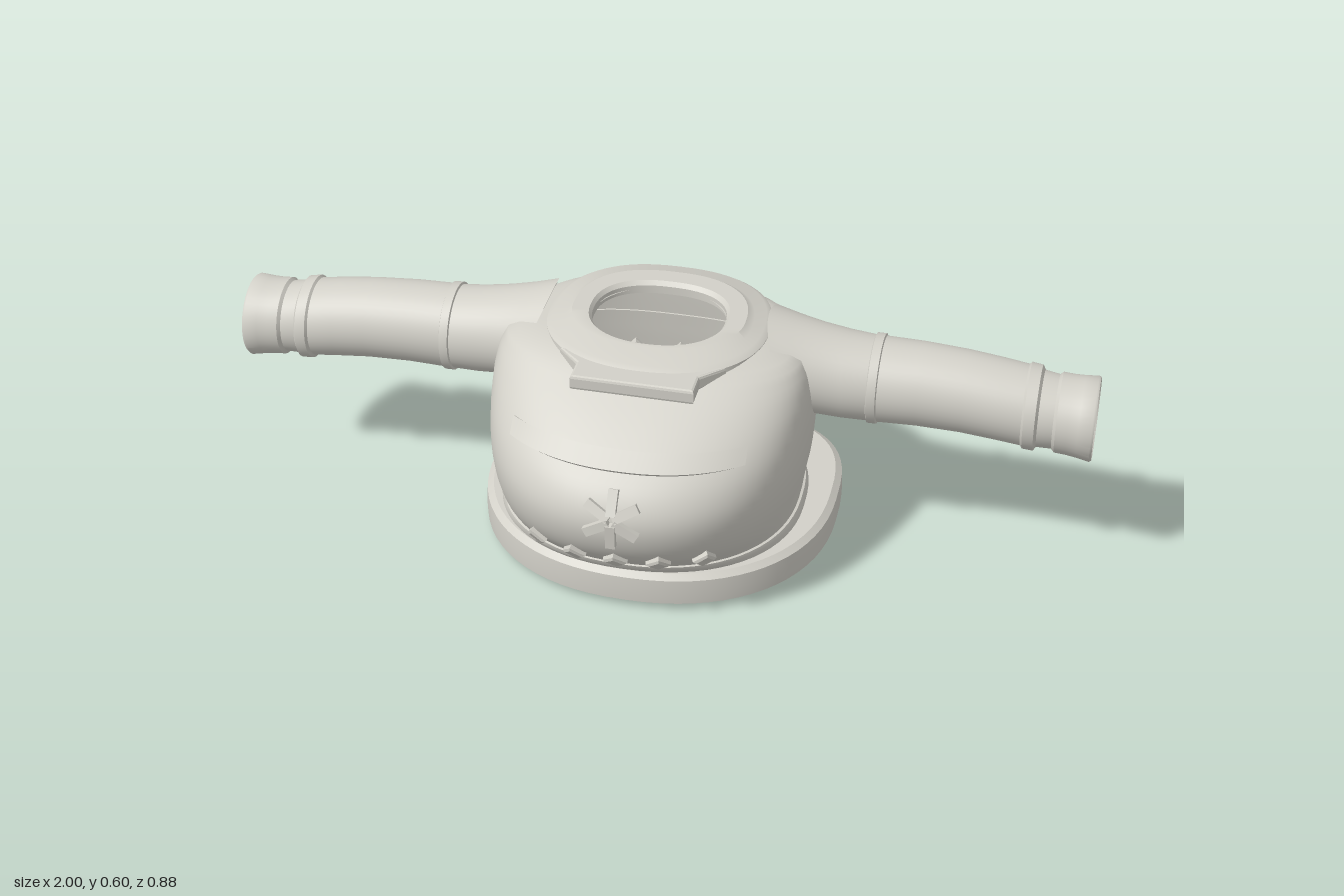
import * as THREE from 'three';
import { toCreasedNormals } from 'three/addons/utils/BufferGeometryUtils.js';

// Skin a list of point rings; optionally close both ends or join last to first
function loft(rings, { caps = false, loop = false, crease = 0.6 } = {}) {
  const n = rings[0].length, pos = rings.flat(2), idx = [];
  const rows = loop ? rings.length : rings.length - 1;
  for (let i = 0; i < rows; i++) {
    const k = (i + 1) % rings.length;
    for (let j = 0; j < n; j++) {
      const j2 = (j + 1) % n;
      const a = i * n + j, b = k * n + j, c = k * n + j2, d = i * n + j2;
      idx.push(a, b, c, a, c, d);
    }
  }
  if (caps) {
    const last = (rings.length - 1) * n;
    for (let j = 1; j < n - 1; j++) idx.push(0, j, j + 1, last, last + j + 1, last + j);
  }
  const g = new THREE.BufferGeometry();
  g.setAttribute('position', new THREE.Float32BufferAttribute(pos, 3));
  g.setIndex(idx);
  return toCreasedNormals(g, crease);
}

// Horizontal egg-shaped ring: front and back are separate superellipse halves
function ring(y, zf, zb, w, zc = 0, nf = 2.2, nb = 2.6, seg = 72) {
  const pts = [];
  for (let j = 0; j < seg; j++) {
    const a = j / seg * Math.PI * 2, c = Math.cos(a), s = Math.sin(a);
    const e = 2 / (s >= 0 ? nf : nb), R = s >= 0 ? zf - zc : zc - zb;
    pts.push([w * Math.sign(c) * Math.abs(c) ** e, y, zc + R * Math.sign(s) * Math.abs(s) ** e]);
  }
  return pts;
}

// Torso profile: height -> front z, back z, half width
const profile = [
  [0.085, 0.275, -0.322, 0.33], [0.115, 0.305, -0.318, 0.34], [0.15, 0.34, -0.306, 0.345],
  [0.2, 0.39, -0.299, 0.352], [0.26, 0.42, -0.291, 0.362], [0.32, 0.424, -0.285, 0.368],
  [0.37, 0.4, -0.279, 0.37], [0.41, 0.36, -0.275, 0.37], [0.47, 0.275, -0.269, 0.365],
  [0.515, 0.2, -0.265, 0.35], [0.54, 0.155, -0.262, 0.325], [0.555, 0.12, -0.255, 0.26],
];
const spline = new THREE.CubicInterpolant(profile.map(p => p[0]), profile.flatMap(p => p.slice(1)), 3);
const section = y => Array.from(spline.evaluate(y));

// Point and outward normal on the torso, side = 1 front, -1 back
function surfaceZ(x, y, side) {
  const [zf, zb, w] = section(y), n = side > 0 ? 2.2 : 2.6;
  const t = Math.max(0, 1 - Math.abs(x / w) ** n) ** (1 / n);
  return side > 0 ? zf * t : zb * t;
}
function surface(x, y, side) {
  const e = 0.004, z = surfaceZ(x, y, side);
  const dx = (surfaceZ(x + e, y, side) - surfaceZ(x - e, y, side)) / (2 * e);
  const dy = (surfaceZ(x, y + e, side) - surfaceZ(x, y - e, side)) / (2 * e);
  return { p: new THREE.Vector3(x, y, z), n: new THREE.Vector3(-dx, -dy, 1).multiplyScalar(side).normalize() };
}

export function createModel() {
  const model = new THREE.Group();
  model.name = 'suitTorso';
  const grey = new THREE.MeshStandardMaterial({ color: 0xd2d0c8, side: THREE.DoubleSide });
  grey.name = 'warmGrey';
  const add = (name, geometry) => {
    const m = new THREE.Mesh(geometry, grey);
    m.name = name;
    model.add(m);
    return m;
  };

  // Torso shell, closing in to the neck hole
  const rows = [];
  for (let i = 0; i <= 40; i++) {
    const y = 0.085 + 0.47 * i / 40;
    rows.push(ring(y, ...section(y)));
  }
  rows.push(ring(0.56, 0.09, -0.18, 0.155, -0.045, 2, 2));
  add('torso', loft(rows, { crease: 0.9 }));

  // Waist belt with a narrow step beneath
  const band = (name, levels) => add(name, loft(levels.map(([y, o]) => {
    const [zf, zb, w] = section(y);
    return ring(y, zf + o, zb - o, w + o);
  })));
  band('belt', [[0.117, -0.005], [0.117, 0.011], [0.122, 0.015], [0.135, 0.011], [0.144, 0.006], [0.147, -0.005]]);
  band('beltStep', [[0.1, -0.004], [0.1, 0.005], [0.11, 0.006], [0.113, -0.004]]);

  // Flared skirt ring with an open underside
  const skirt = [
    [0, 0.25, -0.345, 0.365], [0.01, 0.255, -0.35, 0.37], [0.01, 0.296, -0.422, 0.405],
    [0.018, 0.307, -0.434, 0.419], [0.05, 0.309, -0.436, 0.42], [0.082, 0.307, -0.434, 0.418],
    [0.094, 0.293, -0.418, 0.403], [0.094, 0.265, -0.315, 0.325], [0.08, 0.262, -0.318, 0.328],
    [0.01, 0.24, -0.335, 0.355],
  ];
  add('skirtRing', loft(skirt.map(s => ring(...s, -0.1, 2.2, 3)), { loop: true }));

  // Collar ring around the neck hole
  const collar = [
    [0.52, 0.17, -0.27, 0.245], [0.534, 0.185, -0.284, 0.255], [0.557, 0.18, -0.284, 0.255],
    [0.566, 0.165, -0.272, 0.242], [0.568, 0.13, -0.24, 0.215], [0.579, 0.105, -0.225, 0.2],
    [0.579, 0.095, -0.18, 0.16], [0.57, 0.09, -0.17, 0.153], [0.55, 0.09, -0.17, 0.153],
  ];
  add('collar', loft(collar.map(c => ring(...c, -0.045, 2.2, 2.4))));

  // Chamfered tab at the front of the collar
  const tab = new THREE.Shape([[-0.14, -0.23], [0.14, -0.23], [0.14, -0.17], [0.19, -0.12],
    [-0.19, -0.12], [-0.14, -0.17]].map(p => new THREE.Vector2(...p)));
  const tabGeo = new THREE.ExtrudeGeometry(tab, {
    depth: 0.022, bevelEnabled: true, bevelSize: 0.006, bevelThickness: 0.007, bevelOffset: -0.006, bevelSegments: 2,
  });
  tabGeo.rotateX(-Math.PI / 2);
  add('collarTab', tabGeo).position.y = 0.53;

  // Sleeves: x, centre height, radius; the list turns inward at the open cuff
  const sleeve = [
    [0.25, 0.485, 0.115], [0.31, 0.472, 0.11], [0.37, 0.462, 0.105], [0.43, 0.453, 0.102],
    [0.488, 0.448, 0.099], [0.49, 0.448, 0.104], [0.51, 0.447, 0.104], [0.512, 0.447, 0.099],
    [0.6, 0.446, 0.097], [0.7, 0.441, 0.095], [0.78, 0.432, 0.094], [0.838, 0.424, 0.093],
    [0.843, 0.423, 0.099], [0.868, 0.42, 0.098], [0.874, 0.419, 0.088], [0.908, 0.416, 0.085],
    [0.915, 0.415, 0.092], [0.94, 0.413, 0.092], [0.965, 0.411, 0.094], [0.995, 0.409, 0.098],
    [1, 0.409, 0.095], [0.99, 0.41, 0.089], [0.92, 0.415, 0.082], [0.7, 0.441, 0.085], [0.4, 0.457, 0.09],
  ];
  for (const s of [1, -1]) {
    const rings = sleeve.map(([x, cy, r]) => {
      const pts = [], cz = -0.07 - 0.018 * Math.min(1, (x - 0.25) / 0.3);
      const slant = 0.1 * Math.max(0, (0.37 - x) / 0.12); // shoulder end slopes into the torso
      for (let j = 0; j < 40; j++) {
        const a = j / 40 * Math.PI * 2;
        pts.push([s * (x + slant * (1 - Math.cos(a)) / 2), cy + r * Math.cos(a), cz - s * r * Math.sin(a)]);
      }
      return pts;
    });
    add(s > 0 ? 'leftSleeve' : 'rightSleeve', loft(rings, { caps: true, crease: 0.7 }));
  }

  // Raised strips curving across chest and back
  const strip = (name, half, y0, y1, side) => {
    const rings = [];
    for (let i = 0; i <= 28; i++) {
      const x = side * half * (i / 14 - 1);
      rings.push([[y0, -0.004], [y0, 0.01], [y1, 0.01], [y1, -0.004]].map(([y, o]) => {
        const { p, n } = surface(x, y, side);
        return p.addScaledVector(n, o).toArray();
      }));
    }
    add(name, loft(rings, { caps: true }));
  };
  strip('chestStrip', 0.262, 0.41, 0.44, 1);
  strip('backStrip', 0.275, 0.405, 0.435, -1);

  // Small ornaments laid on the surface
  const place = (mesh, x, y, side, turn = 0) => {
    const { p, n } = surface(x, y, side);
    mesh.position.copy(p);
    mesh.lookAt(p.clone().add(n));
    mesh.rotateZ(turn);
  };
  const diamondShape = new THREE.Shape([[0.028, 0], [0, 0.033], [-0.028, 0], [0, -0.033]]
    .map(p => new THREE.Vector2(...p)));
  const diamondGeo = new THREE.ExtrudeGeometry(diamondShape, {
    depth: 0.014, bevelEnabled: true, bevelSize: 0.005, bevelThickness: 0.005, bevelOffset: -0.005, bevelSegments: 1,
  });
  diamondGeo.translate(0, 0, -0.007);
  for (const x of [-0.19, -0.095, 0, 0.095, 0.19]) place(add('frontDiamond', diamondGeo), x, 0.195, 1);
  for (const x of [-0.22, -0.11, 0, 0.11, 0.22]) place(add('backDiamond', diamondGeo), x, 0.32, -1);
  for (const x of [-0.15, 0, 0.15]) place(add('lowerBackDiamond', diamondGeo), x, 0.195, -1);

  // Six-armed star on the chest
  const armGeo = new THREE.BoxGeometry(0.062, 0.022, 0.024);
  for (let i = 0; i < 6; i++) {
    const a = Math.PI / 2 + i * Math.PI / 3;
    place(add('starArm', armGeo), 0.036 * Math.cos(a), 0.325 + 0.036 * Math.sin(a), 1, a);
  }
  return model;
}
